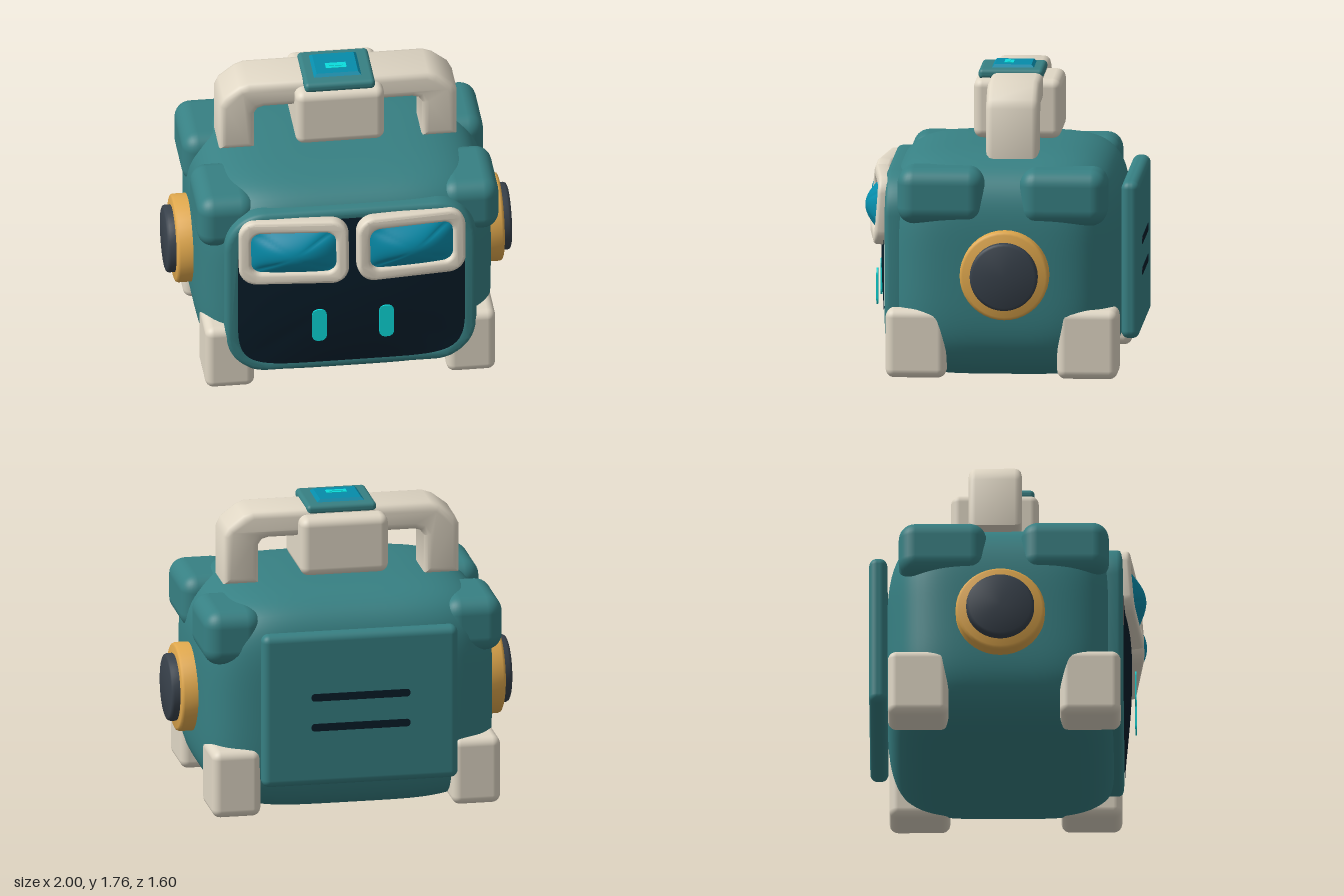
import * as THREE from 'three';
import { mergeVertices, toCreasedNormals } from 'three/addons/utils/BufferGeometryUtils.js';
import { RoundedBoxGeometry } from 'three/addons/geometries/RoundedBoxGeometry.js';

const mat = (name, color) => {
  const m = new THREE.MeshStandardMaterial({ color });
  m.name = name;
  return m;
};

// Box whose points are pushed onto a superellipsoid, giving a bulging rounded block
function bulgedBox(a, b, c, n, seg) {
  let g = new THREE.BoxGeometry(2, 2, 2, seg, seg, seg);
  g.deleteAttribute('uv');
  g.deleteAttribute('normal');
  g = mergeVertices(g);
  const p = g.attributes.position;
  for (let i = 0; i < p.count; i++) {
    const x = p.getX(i), y = p.getY(i), z = p.getZ(i);
    const k = (Math.abs(x) ** n + Math.abs(y) ** n + Math.abs(z) ** n) ** (-1 / n);
    p.setXYZ(i, x * k * a, y * k * b, z * k * c);
  }
  g.computeVertexNormals();
  return g;
}

// Rounded-rectangle pane that swells towards +z in the middle
function dome(a, b, c, n) {
  const g = new THREE.PlaneGeometry(2, 2, 24, 24);
  const p = g.attributes.position;
  for (let i = 0; i < p.count; i++) {
    const u = p.getX(i), v = p.getY(i);
    const sum = Math.abs(u) ** n + Math.abs(v) ** n;
    const k = sum > 0 ? Math.max(Math.abs(u), Math.abs(v)) * sum ** (-1 / n) : 0;
    p.setXYZ(i, a * u * k, b * v * k, c * (1 - u * u) * (1 - v * v));
  }
  g.computeVertexNormals();
  return g;
}

// Adds a rounded rectangle outline to a shape or path
function roundRect(path, w, h, r) {
  const x = w / 2 - r, y = h / 2 - r, q = Math.PI / 2;
  path.moveTo(x + r, -y);
  path.absarc(x, y, r, 0, q);
  path.absarc(-x, y, r, q, 2 * q);
  path.absarc(-x, -y, r, 2 * q, 3 * q);
  path.absarc(x, -y, r, 3 * q, 4 * q);
  return path;
}

// Rounded rectangle with a rounded opening
function ring(w, h, r, w2, h2, r2) {
  const s = roundRect(new THREE.Shape(), w, h, r);
  s.holes.push(roundRect(new THREE.Path(), w2, h2, r2));
  return s;
}

// Bevelled extrusion, centred in depth
function slab(shape, depth, bevel) {
  const g = new THREE.ExtrudeGeometry(shape, {
    depth: depth - 2 * bevel, bevelEnabled: bevel > 0, bevelThickness: bevel,
    bevelSize: bevel, bevelOffset: -bevel, bevelSegments: 3, curveSegments: 8,
  });
  g.translate(0, 0, bevel - depth / 2);
  return toCreasedNormals(g, 0.7);
}

// Curves a flat part back towards its edges
function bend(g, kx, ky) {
  const p = g.attributes.position;
  for (let i = 0; i < p.count; i++) {
    p.setZ(i, p.getZ(i) - kx * p.getX(i) ** 2 - ky * p.getY(i) ** 2);
  }
  return g;
}

// Disc with a softened rim, running outward along +y from 0 to h
function knob(r, h) {
  const e = 0.018;
  const pts = [[0, 0], [r, 0], [r, h - e], [r - e * 0.3, h - e * 0.3], [r - e, h], [0, h]];
  return toCreasedNormals(new THREE.LatheGeometry(pts.map(([x, y]) => new THREE.Vector2(x, y)), 40), 0.9);
}

export function createModel() {
  const model = new THREE.Group();
  model.name = 'robotHead';
  const teal = mat('teal', 0x378083);
  const cream = mat('cream', 0xe0d7c5);
  const gold = mat('gold', 0xe0a84d);
  const charcoal = mat('charcoal', 0x38414b);
  const navy = mat('navy', 0x071c29);
  const blue = mat('blue', 0x068caa);
  const cyan = mat('cyan', 0x0bdcdc);

  const add = (name, geometry, material, x = 0, y = 0, z = 0, parent = model) => {
    const m = new THREE.Mesh(geometry, material);
    m.name = name;
    m.position.set(x, y, z);
    parent.add(m);
    return m;
  };
  const rbox = (w, h, d, r) => new RoundedBoxGeometry(w, h, d, 4, r);

  // Body and face
  add('body', bulgedBox(0.86, 0.655, 0.685, 4.5, 28), teal, 0, 0.655, -0.01);
  add('faceBezel', bend(slab(ring(1.46, 1.06, 0.24, 1.26, 0.9, 0.16), 0.16, 0.03), 0.04, 0.06),
    teal, 0, 0.665, 0.612);
  add('screen', dome(0.66, 0.48, 0.045, 6), navy, 0, 0.665, 0.672);

  // Paired parts
  const eye = slab(roundRect(new THREE.Shape(), 0.085, 0.21, 0.036), 0.009, 0);
  const frame = slab(ring(0.635, 0.4, 0.1, 0.49, 0.255, 0.06), 0.09, 0.02);
  const lens = dome(0.255, 0.138, 0.085, 6);
  const foot = rbox(0.285, 0.4, 0.35, 0.05);
  const pad = rbox(0.34, 0.325, 0.505, 0.095);
  const earRing = knob(0.257, 0.17), earCap = knob(0.196, 0.07);

  for (const s of [1, -1]) {
    const side = s > 0 ? 'left' : 'right';
    add(side + 'Eye', eye, cyan, s * 0.195, 0.475, 0.738);

    // Goggle turned to wrap around the face
    const goggle = new THREE.Group();
    goggle.name = side + 'Goggle';
    goggle.position.set(s * 0.34, 0.97, 0.702);
    goggle.rotation.set(-0.08, s * 0.1, 0);
    model.add(goggle);
    add('goggleFrame', frame, cream, 0, 0, 0, goggle);
    add('goggleLens', lens, blue, 0, 0, 0.012, goggle);

    // Ear
    const ear = new THREE.Group();
    ear.name = side + 'Ear';
    ear.position.set(s * 0.78, 0.643, -0.037);
    ear.rotation.z = -s * Math.PI / 2;
    model.add(ear);
    add('earRing', earRing, gold, 0, 0, 0, ear);
    add('earCap', earCap, charcoal, 0, 0.15, 0, ear);

    // Corner feet and shoulder pads
    add(side + 'FrontFoot', foot, cream, s * 0.7, 0.23, 0.48);
    add(side + 'BackFoot', foot, cream, s * 0.703, 0.23, -0.51);
    add(side + 'FrontPad', pad, teal, s * 0.705, 1.087, 0.335);
    add(side + 'BackPad', pad, teal, s * 0.705, 1.082, -0.37);
  }

  // Carrying handle
  const half = [[0.69, 1.29], [0.69, 1.58], [0.665, 1.63], [0.575, 1.7], [0.52, 1.72]];
  const inner = [[0.43, 1.56], [0.465, 1.55], [0.485, 1.52], [0.485, 1.29]];
  const flip = (pts) => pts.map(([x, y]) => [-x, y]).reverse();
  const outline = [...half, ...flip(half), ...flip(inner), ...inner];
  const arch = new THREE.Shape(outline.map(([x, y]) => new THREE.Vector2(x, y)));
  add('handle', slab(arch, 0.305, 0.04), cream, 0, 0, -0.068);
  add('handleGrip', rbox(0.515, 0.345, 0.505, 0.05), cream, 0, 1.518, -0.072);

  // Button on the handle
  add('buttonBase', rbox(0.41, 0.06, 0.375, 0.025), teal, 0, 1.712, -0.032);
  add('buttonTop', toCreasedNormals(new THREE.CylinderGeometry(0.17, 0.2, 0.02, 4, 1)
    .rotateY(Math.PI / 4).scale(1, 1, 0.88), 0.1), blue, -0.005, 1.748, -0.04);
  add('buttonMark', new THREE.BoxGeometry(0.12, 0.006, 0.055), cyan, -0.005, 1.758, -0.012);
  add('buttonBar', new THREE.BoxGeometry(0.08, 0.006, 0.016), cyan, -0.005, 1.761, -0.012);

  // Back panel with two vent slots
  add('backPanel', rbox(1.15, 0.915, 0.105, 0.045), teal, 0, 0.688, -0.742);
  const slot = slab(roundRect(new THREE.Shape(), 0.58, 0.045, 0.02), 0.008, 0);
  for (const y of [0.765, 0.585]) add('ventSlot', slot, navy, 0, y, -0.793);

  return model;
}
